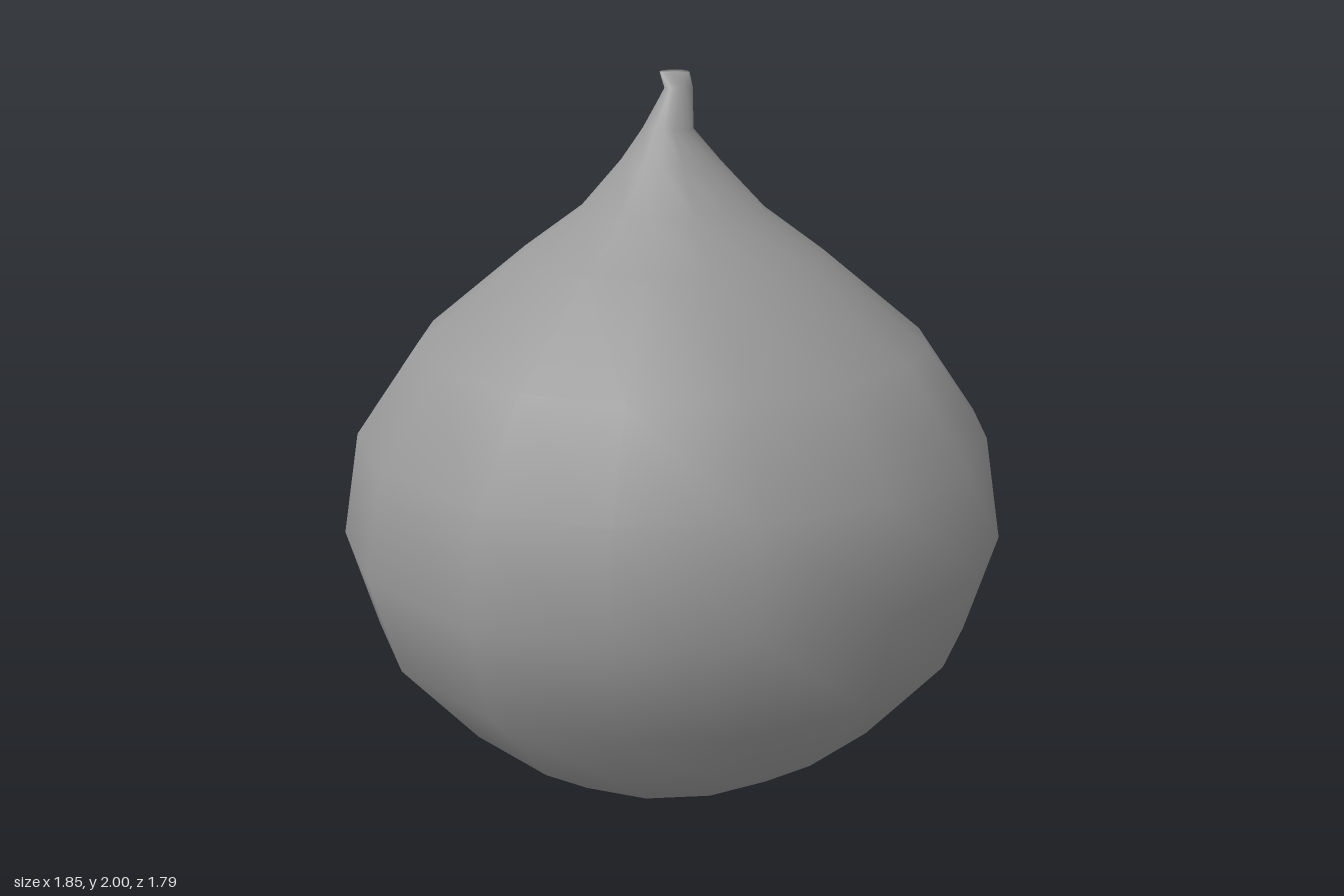
import * as THREE from 'three';

// Slightly irregular sixteen-sided cross-section at the widest level, as [x, z]
const OUTLINE = [
  [-0.08, -0.895], [0.28, -0.865], [0.6, -0.7], [0.84, -0.35],
  [0.922, 0.07], [0.855, 0.345], [0.7, 0.59], [0.41, 0.8],
  [0.065, 0.893], [-0.295, 0.86], [-0.61, 0.69], [-0.855, 0.345],
  [-0.925, 0], [-0.865, -0.35], [-0.71, -0.6], [-0.43, -0.8],
];

// Levels from base to tip: height, half-width in x and z, centre in x and z, tilt along z
const LEVELS = [
  [0, 0.235, 0.22, 0, 0, 0],
  [0.08, 0.45, 0.425, 0, 0, 0],
  [0.215, 0.635, 0.6, 0, 0, 0],
  [0.475, 0.845, 0.807, 0, 0, 0],
  [0.76, 0.922, 0.893, 0, 0, 0],
  [1.045, 0.87, 0.85, 0, 0, 0],
  [1.29, 0.697, 0.685, 0, 0, 0],
  [1.52, 0.415, 0.41, 0, 0, 0],
  [1.64, 0.25, 0.248, 0, 0, 0],
  [1.765, 0.135, 0.135, -0.005, 0, 0],
  [1.85, 0.068, 0.072, -0.012, 0, 0],
  [1.955, 0.038, 0.02, 0.017, -0.002, 0],
  [1.995, 0.04, 0.012, 0.009, -0.018, -0.4],
];

// Skins the levels into one closed smooth surface
function loft(outline, levels) {
  const n = outline.length, pos = [], idx = [];
  for (const [y, rx, rz, cx, cz, tilt] of levels) {
    for (const [x, z] of outline) {
      const dz = (z / 0.893) * rz;
      pos.push(cx + (x / 0.922) * rx, y + tilt * dz, cz + dz);
    }
  }
  for (let j = 0; j < levels.length - 1; j++) {
    for (let i = 0; i < n; i++) {
      const a = j * n + i, b = j * n + ((i + 1) % n);
      idx.push(a, a + n, b + n, a, b + n, b);
    }
  }
  // Base and tip caps
  const last = (levels.length - 1) * n, base = levels.length * n, tip = base + 1;
  for (const [y, , , cx, cz] of [levels[0], levels[levels.length - 1]]) pos.push(cx, y, cz);
  for (let i = 0; i < n; i++) {
    const k = (i + 1) % n;
    idx.push(base, i, k, tip, last + k, last + i);
  }
  const geo = new THREE.BufferGeometry();
  geo.setAttribute('position', new THREE.Float32BufferAttribute(pos, 3));
  geo.setIndex(idx);
  geo.computeVertexNormals();
  return geo;
}

export function createModel() {
  const group = new THREE.Group();
  group.name = 'bulb';
  // Round body drawn up into a thin, bent stem
  const body = new THREE.Mesh(
    loft(OUTLINE, LEVELS),
    new THREE.MeshStandardMaterial({ color: 0x999999 }),
  );
  body.name = 'bulbBody';
  group.add(body);
  return group;
}
